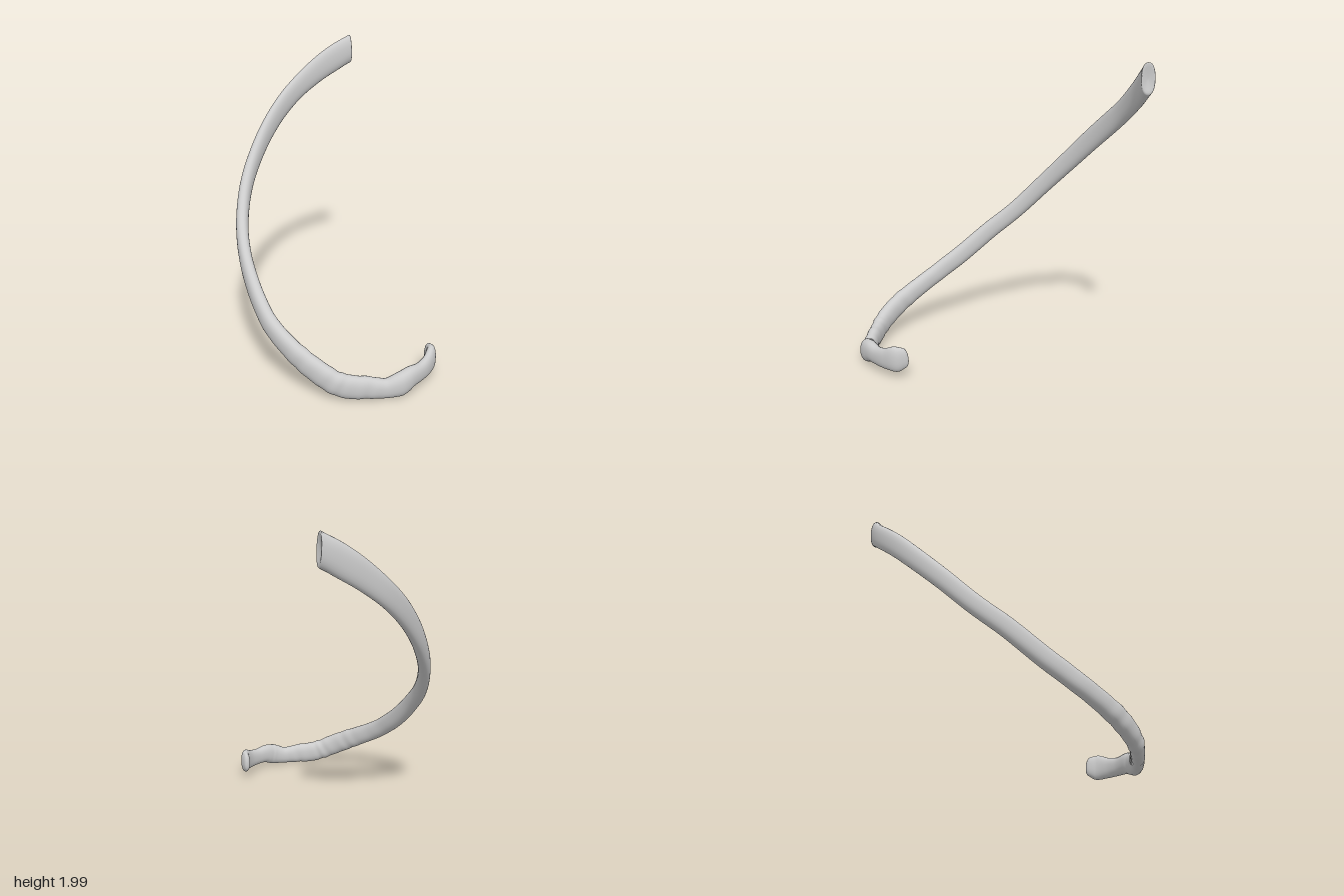
import * as THREE from 'three';

// Stations along the rib: x, y, z, half height, half thickness
const STATIONS = [
  [0.612, 0.14, 0.58, 0.066, 0.024],
  [0.622, 0.132, 0.635, 0.085, 0.034],
  [0.59, 0.118, 0.71, 0.07, 0.034],
  [0.53, 0.11, 0.785, 0.062, 0.038],
  [0.46, 0.11, 0.848, 0.07, 0.047],
  [0.4, 0.09, 0.888, 0.077, 0.051],
  [0.31, 0.072, 0.906, 0.063, 0.045],
  [0.2, 0.082, 0.912, 0.072, 0.045],
  [0.09, 0.089, 0.914, 0.077, 0.047],
  [0, 0.114, 0.907, 0.076, 0.05],
  [-0.1, 0.165, 0.87, 0.077, 0.05],
  [-0.2, 0.222, 0.81, 0.075, 0.05],
  [-0.3, 0.285, 0.725, 0.07, 0.048],
  [-0.41, 0.372, 0.6, 0.067, 0.046],
  [-0.515, 0.52, 0.4, 0.067, 0.044],
  [-0.585, 0.69, 0.2, 0.065, 0.042],
  [-0.61, 0.853, 0, 0.063, 0.042],
  [-0.585, 1.06, -0.21, 0.065, 0.042],
  [-0.5, 1.275, -0.42, 0.07, 0.04],
  [-0.4, 1.44, -0.575, 0.075, 0.037],
  [-0.3, 1.56, -0.69, 0.078, 0.036],
  [-0.2, 1.653, -0.773, 0.08, 0.036],
  [-0.05, 1.768, -0.852, 0.089, 0.038],
  [0.08, 1.85, -0.895, 0.098, 0.042],
  [0.168, 1.897, -0.917, 0.103, 0.047],
];
const RINGS = 180, SIDES = 28;

// Rounded oval, slightly fuller than an ellipse
const full = (v) => Math.sign(v) * Math.pow(Math.abs(v), 0.88);

function ribGeometry() {
  const path = new THREE.CatmullRomCurve3(STATIONS.map((s) => new THREE.Vector3(s[0], s[1], s[2])));
  const size = new THREE.CatmullRomCurve3(
    STATIONS.map((s, i) => new THREE.Vector3(s[3], s[4], i * 0.05)), false, 'catmullrom');
  const up = new THREE.Vector3(0, 1, 0);
  const pos = [], index = [];

  // One oval ring; the long axis leans with the path and stands upright at the rear end
  const addRing = (t, scale, push) => {
    const c = path.getPoint(t), r = size.getPoint(t), dir = path.getTangent(t);
    const side = new THREE.Vector3().crossVectors(dir, up).normalize();
    const tall = new THREE.Vector3().crossVectors(side, dir).normalize();
    tall.lerp(up, 0.9 * THREE.MathUtils.smoothstep(t, 0.9, 1)).normalize();
    c.addScaledVector(dir, push);
    // gentle ripples on the front part of the shaft
    const rough = 0.0025 * Math.exp(-Math.pow((t - 0.38) / 0.16, 2));
    for (let j = 0; j < SIDES; j++) {
      const a = (j / SIDES) * Math.PI * 2;
      const bump = rough * Math.sin(t * 190 + 1.5 * Math.sin(a)) * (0.6 + 0.4 * Math.sin(t * 71));
      const p = c.clone()
        .addScaledVector(side, full(Math.cos(a)) * (r.y + bump) * scale)
        .addScaledVector(tall, full(Math.sin(a)) * (r.x + bump) * scale);
      pos.push(p.x, p.y, p.z);
    }
  };

  // Front tip is domed, rear end is blunt and slightly dished
  [[0.001, -0.022], [0.4, -0.02], [0.7, -0.015], [0.9, -0.007]].forEach(([s, p]) => addRing(0, s, p));
  for (let i = 0; i <= RINGS; i++) addRing(i / RINGS, 1, 0);
  [[0.97, 0.005], [0.88, 0.007], [0.7, 0.004], [0.4, -0.003], [0.001, -0.006]].forEach(([s, p]) => addRing(1, s, p));

  const rows = pos.length / 3 / SIDES;
  for (let i = 0; i < rows - 1; i++) {
    for (let j = 0; j < SIDES; j++) {
      const k = (j + 1) % SIDES;
      const a = i * SIDES + j, b = i * SIDES + k;
      index.push(a, a + SIDES, b, b, a + SIDES, b + SIDES);
    }
  }
  const geo = new THREE.BufferGeometry();
  geo.setAttribute('position', new THREE.Float32BufferAttribute(pos, 3));
  geo.setIndex(index);
  geo.computeVertexNormals();
  return geo;
}

export function createModel() {
  const group = new THREE.Group();
  group.name = 'ribBone';
  const rib = new THREE.Mesh(ribGeometry(), new THREE.MeshStandardMaterial({ color: 0xcccccc }));
  rib.name = 'ribShaft';
  group.add(rib);
  return group;
}
